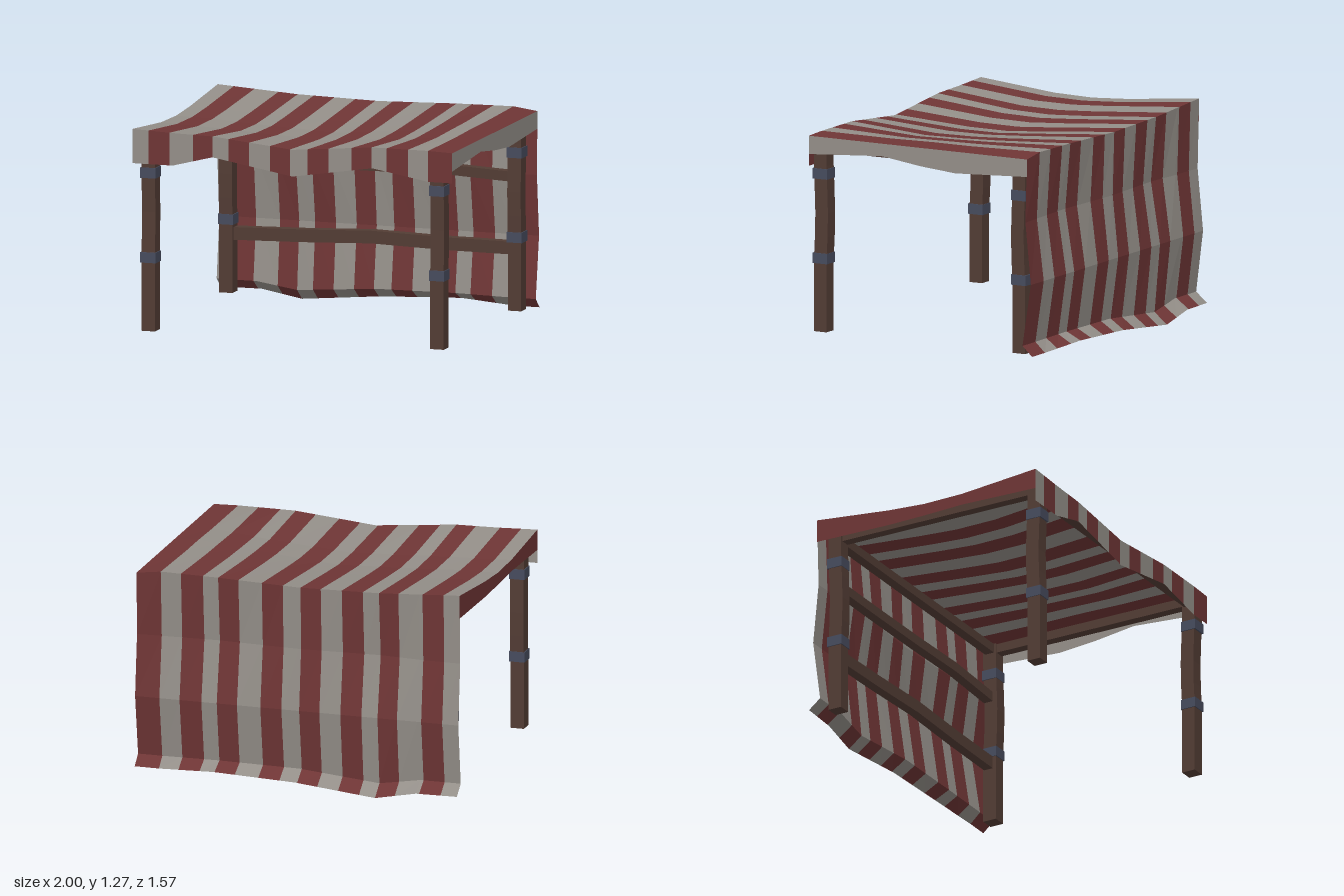
import * as THREE from 'three';

const mat = (name, color, extra = {}) => {
  const m = new THREE.MeshStandardMaterial({ color, flatShading: true, ...extra });
  m.name = name;
  return m;
};

// piecewise linear lookup of v over the stations xs
function lerpAt(xs, v, x) {
  if (typeof v === 'number') return v;
  let i = 0;
  while (i < xs.length - 2 && x > xs[i + 1]) i++;
  return v[i] + (v[i + 1] - v[i]) * (x - xs[i]) / (xs[i + 1] - xs[i]);
}

function pushQuad(out, a, b, c, d) {
  out.push(...a, ...b, ...c, ...a, ...c, ...d);
}

function meshFrom(positions, material, name) {
  const g = new THREE.BufferGeometry();
  g.setAttribute('position', new THREE.Float32BufferAttribute(positions, 3));
  g.computeVertexNormals();
  const m = new THREE.Mesh(g, material);
  m.name = name;
  return m;
}

export function createModel() {
  const root = new THREE.Group();
  root.name = 'stripedCanopy';
  const wood = mat('dark wood', 0x523c34);
  const iron = mat('blue grey band', 0x464b5d);
  const red = mat('red cloth', 0x6e3535, { side: THREE.DoubleSide });
  const pale = mat('pale cloth', 0x938e88, { side: THREE.DoubleSide });

  // One cloth: front valance, sagging roof, back curtain, turned-out hem
  const X = [-1, -0.75, -0.5, 0, 0.5, 0.85, 1];
  const rows = [
    { y: [1.05, 1.05, 1.115, 1.03, 1.11, 1.05, 1.05], z: 0.78 },
    { y: [1.255, 1.245, 1.24, 1.19, 1.235, 1.235, 1.23], z: 0.78 },
    { y: [1.21, 1.2, 1.19, 1.165, 1.2, 1.235, 1.23], z: 0.28 },
    { y: [1.205, 1.2, 1.185, 1.165, 1.205, 1.24, 1.23], z: 0.02 },
    { y: [1.22, 1.215, 1.2, 1.185, 1.215, 1.24, 1.23], z: -0.22 },
    { y: [1.27, 1.255, 1.24, 1.23, 1.245, 1.25, 1.23], z: -0.71 },
    { y: 0.85, z: [-0.7, -0.695, -0.675, -0.7, -0.675, -0.69, -0.7] },
    { y: 0.48, z: -0.737 },
    { y: [0.11, 0.11, 0.07, 0.11, 0.115, 0.11, 0.11], z: [-0.69, -0.69, -0.7, -0.685, -0.685, -0.68, -0.68] },
    { y: [0.05, 0.05, 0.003, 0.05, 0.07, 0.05, 0.05], z: [-0.765, -0.775, -0.785, -0.775, -0.78, -0.745, -0.745] },
  ];
  const edges = [-1, -0.9, -0.77, -0.62, -0.5, -0.4, -0.27, -0.14, -0.015,
    0.095, 0.225, 0.37, 0.495, 0.59, 0.725, 0.85, 1];
  const point = (r, x) => [x, lerpAt(X, r.y, x), lerpAt(X, r.z, x)];
  const parts = [['roofValance', 0, 1], ['roof', 1, 5], ['backCurtain', 5, 9]];
  for (const [name, from, to] of parts) {
    const tris = [[], []];
    for (let s = 0; s < edges.length - 1; s++) {
      const x0 = edges[s], x1 = edges[s + 1];
      const cuts = [x0, ...X.filter(x => x > x0 + 1e-6 && x < x1 - 1e-6), x1];
      for (let r = from; r < to; r++)
        for (let c = 0; c < cuts.length - 1; c++)
          pushQuad(tris[s % 2], point(rows[r], cuts[c]), point(rows[r], cuts[c + 1]),
            point(rows[r + 1], cuts[c + 1]), point(rows[r + 1], cuts[c]));
    }
    root.add(meshFrom(tris[0], pale, name + 'PaleStripes'));
    root.add(meshFrom(tris[1], red, name + 'RedStripes'));
  }

  // Side valances hang from the roof edges
  const sides = [
    [1, pale, 'leftValance', [1.12, 1.155, 1.12, 1.1, 1.125]],
    [-1, red, 'rightValance', [1.13, 1.14, 1.13, 1.125, 1.13]],
  ];
  for (const [x, material, name, low] of sides) {
    const pos = [];
    for (let i = 0; i < 4; i++) {
      const a = point(rows[i + 1], x), b = point(rows[i + 2], x);
      const q = [a, [x, low[i], a[2]], [x, low[i + 1], b[2]], b];
      pushQuad(pos, ...(x > 0 ? q : q.reverse()));
    }
    root.add(meshFrom(pos, material, name));
  }

  // Posts bow slightly inwards between their two bands
  for (const sx of [-1, 1]) {
    for (const [z, label] of [[0.735, 'front'], [-0.622, 'back']]) {
      const post = new THREE.Group();
      post.name = label + (sx > 0 ? 'LeftPost' : 'RightPost');
      post.position.set(sx * 0.903, 0, z);
      const g = new THREE.BoxGeometry(0.084, 1.14, 0.086, 1, 8, 1);
      g.translate(0, 0.62, 0);
      const p = g.attributes.position;
      for (let i = 0; i < p.count; i++) {
        const t = (p.getY(i) - 0.49) / 0.51;
        if (t > 0 && t < 1)
          p.setZ(i, p.getZ(i) - Math.sign(z) * 0.01 * Math.sin(Math.PI * t));
      }
      const leg = new THREE.Mesh(g, wood);
      leg.name = 'leg';
      post.add(leg);
      for (const y of [0.49, 0.997]) {
        const band = new THREE.Mesh(new THREE.BoxGeometry(0.095, 0.062, 0.098), iron);
        band.name = 'band';
        band.position.y = y;
        post.add(band);
      }
      root.add(post);
    }
  }

  // Crosswise beams; the height offset follows a few stations along x
  const BX = [-0.88, -0.44, 0, 0.44, 0.88];
  function beam(name, z, h, heights) {
    const g = new THREE.BoxGeometry(1.76, h, 0.06, 4, 1, 1);
    const p = g.attributes.position;
    for (let i = 0; i < p.count; i++)
      p.setY(i, p.getY(i) + lerpAt(BX, heights, p.getX(i)));
    const m = new THREE.Mesh(g, wood);
    m.name = name;
    m.position.z = z;
    root.add(m);
  }
  beam('upperBackRail', -0.63, 0.06, [0.857, 0.857, 0.86, 0.869, 0.848]);
  beam('lowerBackRail', -0.63, 0.076, [0.403, 0.415, 0.434, 0.423, 0.421]);
  beam('frontTopBeam', 0.735, 0.055, 1.15);
  beam('backTopBeam', -0.622, 0.055, 1.16);

  // Side beams under the roof
  for (const sx of [-1, 1]) {
    const m = new THREE.Mesh(new THREE.BoxGeometry(0.06, 0.055, 1.3), wood);
    m.name = sx > 0 ? 'leftTopBeam' : 'rightTopBeam';
    m.position.set(sx * 0.9, 1.16, 0.055);
    root.add(m);
  }
  return root;
}
